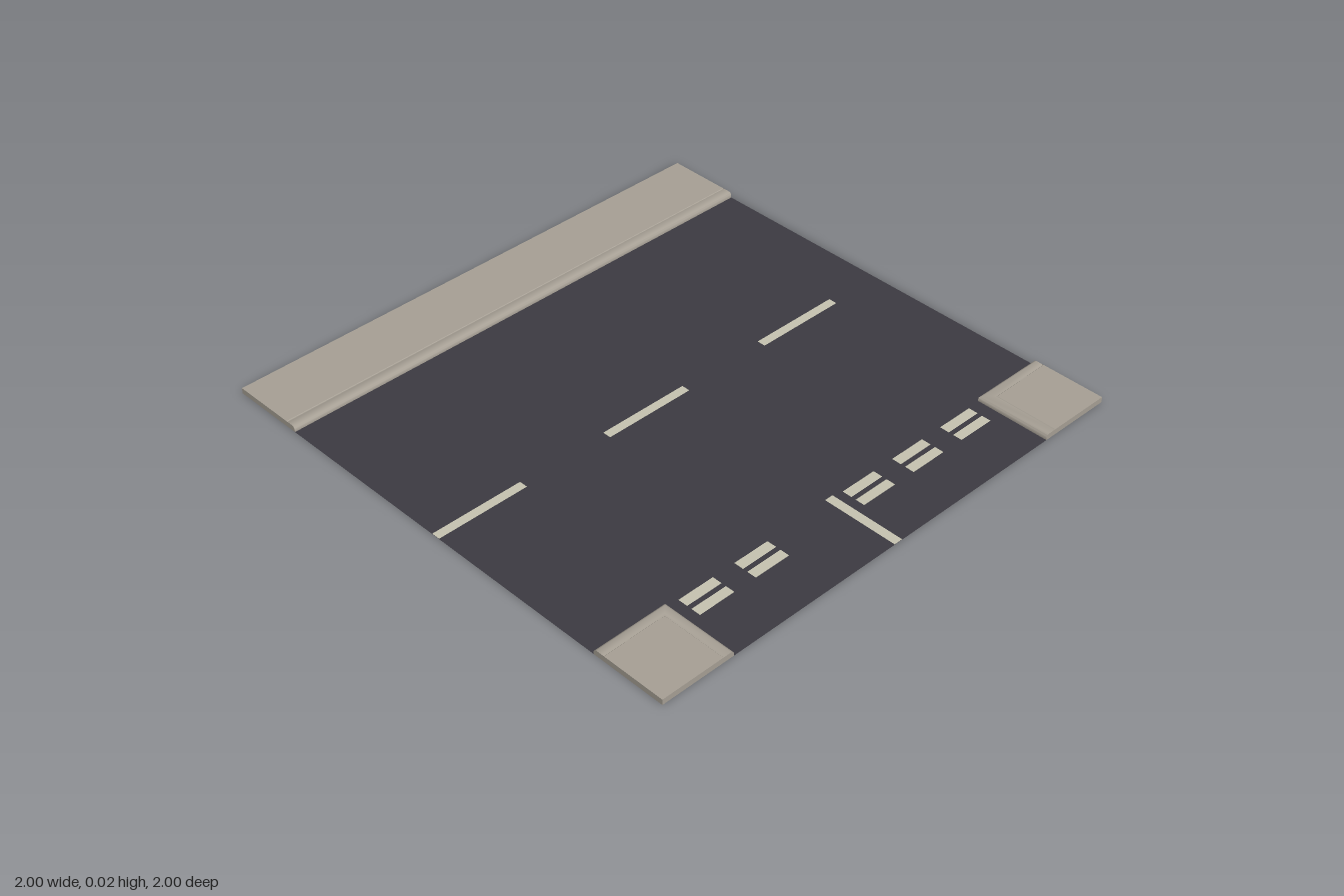
import * as THREE from 'three';
import { toCreasedNormals } from 'three/addons/utils/BufferGeometryUtils.js';

const E = 0.714; // distance from the centre to the kerb line

// Kerb and slab section: [inset from the kerb line, height]
const SECTION = [
  [0, 0], [0, 0.013], [0.004, 0.018], [0.011, 0.021], [0.035, 0.021],
  [0.039, 0.019], [0.041, 0.019], [0.043, 0.021], [1 - E, 0.021], [1 - E, 0],
];

// Sweep the section along stations; each station maps an inset to [x, z]
function pavementGeometry(stations) {
  const rings = stations.map((at) => SECTION.map(([d, y]) => {
    const [x, z] = at(d);
    return [x, y, z];
  }));
  const pos = [];
  const tri = (...pts) => pts.forEach((p) => pos.push(...p));
  const n = SECTION.length;
  for (let s = 0; s < rings.length - 1; s++) {
    for (let i = 0; i < n; i++) {
      const j = (i + 1) % n;
      const a = rings[s][i], b = rings[s + 1][i], c = rings[s + 1][j], d = rings[s][j];
      tri(a, b, c);
      tri(a, c, d);
    }
  }
  // End caps
  const first = rings[0], last = rings[rings.length - 1];
  for (let i = 0; i < n - 2; i++) {
    tri(first[n - 1], first[i], first[i + 1]);
    tri(last[n - 1], last[i + 1], last[i]);
  }
  const g = new THREE.BufferGeometry();
  g.setAttribute('position', new THREE.Float32BufferAttribute(pos, 3));
  return toCreasedNormals(g, 0.7);
}

export function createModel() {
  const group = new THREE.Group();
  const asphalt = new THREE.MeshStandardMaterial({ color: 0x3d3b42, side: THREE.DoubleSide });
  asphalt.name = 'asphalt';
  const concrete = new THREE.MeshStandardMaterial({ color: 0xa8a196 });
  concrete.name = 'concrete';
  const paint = new THREE.MeshStandardMaterial({ color: 0xc8c5b2 });
  paint.name = 'road paint';

  const add = (name, geometry, material) => {
    const mesh = new THREE.Mesh(geometry, material);
    mesh.name = name;
    group.add(mesh);
    return mesh;
  };

  // T-shaped road surface (shape y becomes -z)
  const outline = [[-1, E], [-1, -E], [-E, -E], [-E, -1], [E, -1], [E, -E], [1, -E], [1, E]];
  const roadShape = new THREE.Shape(outline.map(([x, y]) => new THREE.Vector2(x, y)));
  add('road', new THREE.ShapeGeometry(roadShape).rotateX(-Math.PI / 2), asphalt);

  // Pavements: one long strip behind, two corners in front
  add('backPavement', pavementGeometry([
    (d) => [-1, -E - d], (d) => [1, -E - d],
  ]), concrete);
  add('leftCornerPavement', pavementGeometry([
    (d) => [1, E + d], (d) => [E + d, E + d], (d) => [E + d, 1],
  ]), concrete);
  add('rightCornerPavement', pavementGeometry([
    (d) => [-E - d, 1], (d) => [-E - d, E + d], (d) => [-1, E + d],
  ]), concrete);

  // Painted markings just above the asphalt
  const mark = (name, x0, x1, z0, z1) => {
    const g = new THREE.PlaneGeometry(x1 - x0, z1 - z0).rotateX(-Math.PI / 2);
    add(name, g, paint).position.set((x0 + x1) / 2, 0.0015, (z0 + z1) / 2);
  };
  for (const x of [-1, -0.287, 0.427]) mark('centreDash', x, x + 0.357, -0.018, 0.015);
  for (const x of [-0.665, -0.43, 0.052, 0.284, 0.517]) {
    mark('givewayDash', x, x + 0.144, 0.72, 0.757);
    mark('givewayDash', x, x + 0.144, 0.775, 0.811);
  }
  mark('sideRoadLine', -0.018, 0.016, 0.71, 1);

  return group;
}
